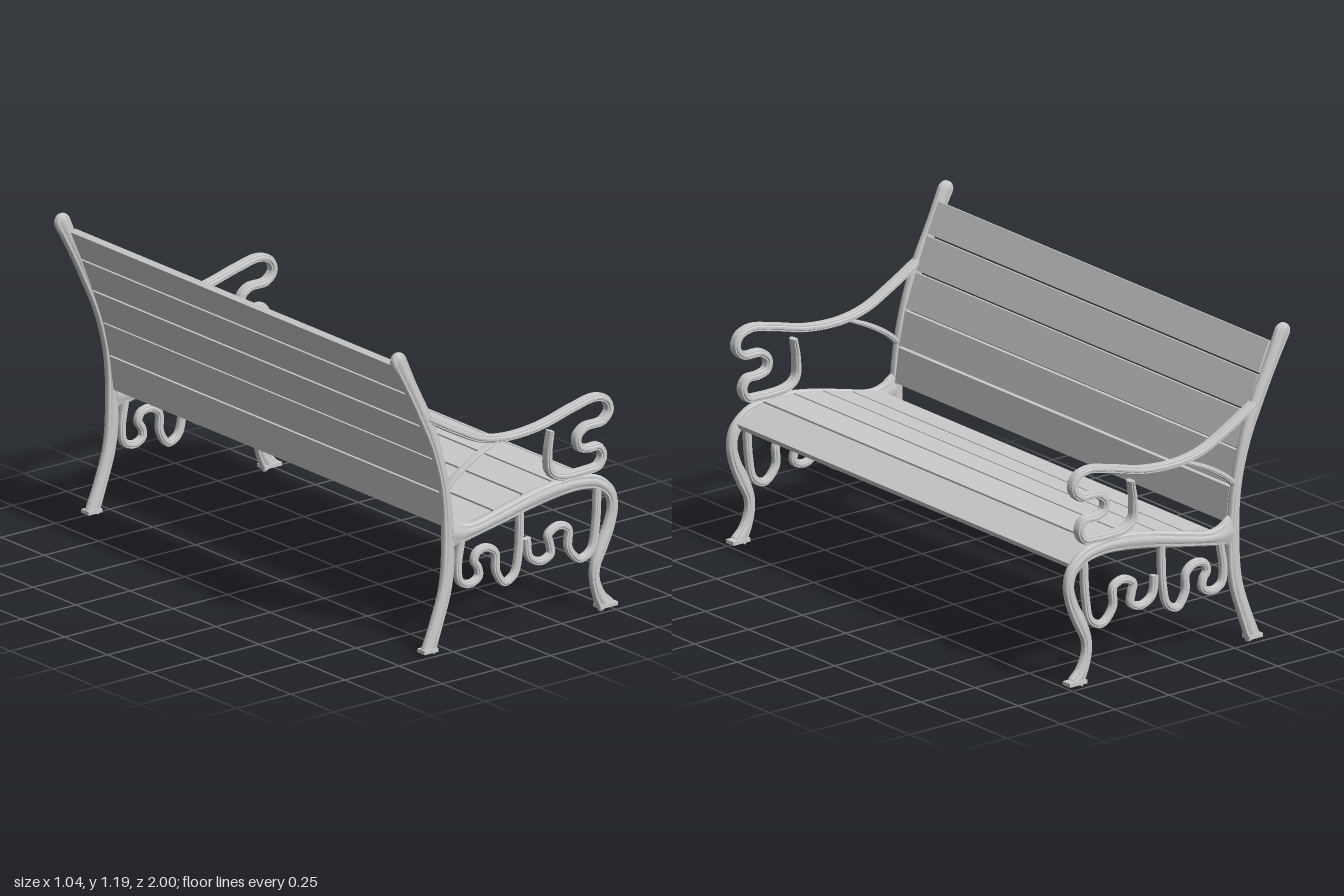
import * as THREE from 'three';
import { toCreasedNormals } from 'three/addons/utils/BufferGeometryUtils.js';

const material = new THREE.MeshStandardMaterial({ color: 0xcccccc });

// Moulded cast-iron section: rounded edges with a raised bead on both faces
const quarter = [[1, 0], [0.95, 0.42], [0.76, 0.74], [0.46, 0.74], [0.3, 0.94]];
const flip = (list, sx, sy) => list.map(([s, t]) => [s * sx, t * sy]);
const section = [
  ...quarter, [0, 1],
  ...flip(quarter.slice(1), -1, 1).reverse(), [-1, 0],
  ...flip(quarter.slice(1), -1, -1), [0, -1],
  ...flip(quarter.slice(1), 1, -1).reverse(),
];

// Sweeps the section along a path in the xy plane; each point is [x, y, width]
function sweep(points, depth, steps, domed = false) {
  const curve = new THREE.CatmullRomCurve3(points.map(p => new THREE.Vector3(...p)));
  const rings = [];
  for (let i = 0; i <= steps; i++) {
    const c = curve.getPoint(i / steps);
    const t = curve.getTangent(i / steps).setZ(0).normalize();
    rings.push({ x: c.x, y: c.y, t, w: c.z, d: depth });
  }
  if (domed) {
    const e = rings[steps];
    for (let k = 1; k <= 6; k++) {
      const a = k * Math.PI / 12.5, r = e.w / 2, f = Math.cos(a);
      rings.push({ x: e.x + e.t.x * r * Math.sin(a), y: e.y + e.t.y * r * Math.sin(a),
        t: e.t, w: e.w * f, d: depth * Math.sqrt(f) });
    }
  }
  const n = section.length, pos = [], index = [];
  for (const { x, y, t, w, d } of rings)
    for (const [s, z] of section) pos.push(x - t.y * s * w / 2, y + t.x * s * w / 2, z * d / 2);
  const last = rings.length - 1, start = rings.length * n;
  for (const r of [rings[0], rings[last]]) pos.push(r.x, r.y, 0);
  for (let j = 0; j < n; j++) {
    const k = (j + 1) % n;
    for (let i = 0; i < last; i++) {
      const a = i * n + j, b = i * n + k;
      index.push(a, b, b + n, a, b + n, a + n);
    }
    index.push(start, k, j, start + 1, last * n + j, last * n + k);
  }
  const geo = new THREE.BufferGeometry();
  geo.setAttribute('position', new THREE.Float32BufferAttribute(pos, 3));
  geo.setIndex(index);
  return toCreasedNormals(geo, 0.6);
}

const constant = (w, pts) => pts.map(([x, y]) => [x, y, w]);

function add(parent, name, geometry) {
  const mesh = new THREE.Mesh(geometry, material);
  mesh.name = name;
  parent.add(mesh);
  return mesh;
}

// Back post, from foot to rounded top
const backPost = sweep([
  [-0.35, 0, 0.062], [-0.312, 0.1, 0.056], [-0.271, 0.23, 0.055], [-0.258, 0.38, 0.054],
  [-0.272, 0.593, 0.042], [-0.312, 0.76, 0.046], [-0.368, 0.9, 0.055], [-0.434, 1.035, 0.055],
  [-0.487, 1.142, 0.066]], 0.036, 70, true);

// Seat rail running on into the S-shaped front leg
const seatRail = sweep([
  [-0.25, 0.432, 0.12], [-0.2, 0.422, 0.083], [-0.14, 0.424, 0.058], [0, 0.452, 0.062],
  [0.12, 0.478, 0.066], [0.25, 0.497, 0.066], [0.35, 0.498, 0.06], [0.43, 0.48, 0.055],
  [0.485, 0.435, 0.046], [0.5, 0.38, 0.042], [0.485, 0.31, 0.046], [0.45, 0.235, 0.052],
  [0.42, 0.165, 0.042], [0.418, 0.11, 0.04], [0.44, 0.045, 0.052], [0.468, 0.005, 0.07]], 0.036, 110);

// Armrest with its scrolled front support
const armrest = sweep([
  ...constant(0.032, [
    [-0.355, 0.895], [-0.227, 0.823], [-0.118, 0.77], [0, 0.747], [0.16, 0.755], [0.317, 0.793],
    [0.416, 0.81], [0.468, 0.79], [0.482, 0.748], [0.45, 0.713], [0.37, 0.706], [0.336, 0.677],
    [0.341, 0.637], [0.38, 0.622], [0.432, 0.619], [0.452, 0.584], [0.433, 0.547], [0.38, 0.539],
    [0.245, 0.546]]),
  [0.207, 0.575, 0.03], [0.202, 0.646, 0.026], [0.214, 0.725, 0.02]], 0.044, 150);

// Curved brace under the armrest
const brace = sweep([[-0.272, 0.6, 0.024], [-0.222, 0.645, 0.022], [-0.14, 0.695, 0.02],
  [-0.04, 0.74, 0.014]], 0.03, 24);

// Scrollwork below the seat rail
const rearScroll = sweep(constant(0.031, [
  [-0.198, 0.4], [-0.214, 0.29], [-0.203, 0.238], [-0.158, 0.22], [-0.118, 0.24], [-0.12, 0.273],
  [-0.138, 0.304], [-0.124, 0.335], [-0.08, 0.342], [-0.042, 0.315], [-0.037, 0.242], [0, 0.192],
  [0.045, 0.213], [0.066, 0.29], [0.073, 0.45]]), 0.032, 110);
const frontScroll = sweep(constant(0.031, [
  [0.104, 0.337], [0.116, 0.264], [0.168, 0.236], [0.214, 0.255], [0.21, 0.295], [0.203, 0.33],
  [0.248, 0.354], [0.294, 0.335], [0.297, 0.258], [0.348, 0.206], [0.4, 0.23], [0.422, 0.32],
  [0.43, 0.46]]), 0.032, 110);

function endFrame(name, z) {
  const frame = new THREE.Group();
  frame.name = name;
  frame.position.z = z;
  add(frame, 'backPost', backPost);
  add(frame, 'seatRailAndFrontLeg', seatRail);
  add(frame, 'armrest', armrest);
  add(frame, 'armrestBrace', brace);
  add(frame, 'rearScroll', rearScroll);
  add(frame, 'frontScroll', frontScroll);
  // Foot pads
  for (const [foot, x, w] of [['rearFoot', -0.35, 0.064], ['frontFoot', 0.469, 0.08]])
    add(frame, foot, new THREE.BoxGeometry(w, 0.014, 0.044)).position.set(x, 0.007, 0);
  return frame;
}

// Planks laid between successive points of the supporting face; thickness goes to the right of travel
function planks(name, pts) {
  const group = new THREE.Group(), thick = 0.024, gap = 0.009;
  group.name = name;
  for (let i = 0; i + 1 < pts.length; i++) {
    const [x0, y0] = pts[i], [x1, y1] = pts[i + 1];
    const dx = x1 - x0, dy = y1 - y0, len = Math.hypot(dx, dy);
    const slat = add(group, name + (i + 1), new THREE.BoxGeometry(len - gap, thick, 1.92));
    slat.position.set((x0 + x1) / 2 + dy / len * thick / 2, (y0 + y1) / 2 - dx / len * thick / 2, 0);
    slat.rotation.z = Math.atan2(dy, dx);
  }
  return group;
}

export function createModel() {
  const bench = new THREE.Group();
  bench.name = 'bench';
  bench.add(endFrame('leftEndFrame', 0.978), endFrame('rightEndFrame', -0.978));
  bench.add(planks('seatSlat', [[-0.172, 0.446], [-0.04, 0.471], [0.095, 0.504], [0.23, 0.524],
    [0.37, 0.523], [0.493, 0.46]]));
  // Listed from the top down so the thickness falls behind the backrest face
  bench.add(planks('backSlat', [[-0.442, 1.115], [-0.389, 0.995], [-0.337, 0.865], [-0.288, 0.73],
    [-0.258, 0.595], [-0.24, 0.455]]));
  return bench;
}
